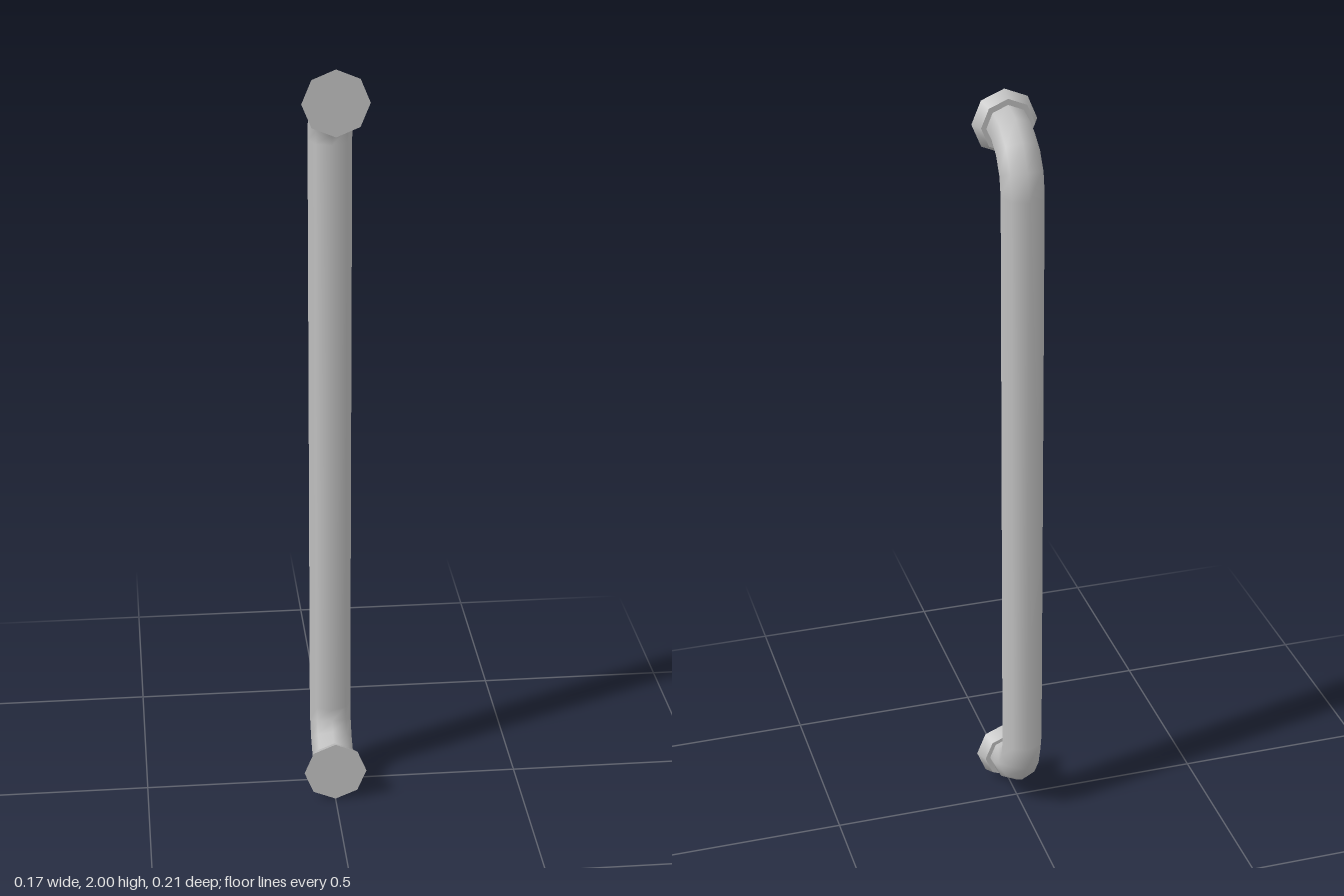
import * as THREE from 'three';

const PIPE_R = 0.055;   // pipe radius
const BEND_R = 0.132;   // bend centreline radius
const BEND_Y = 1.785;   // height of the upper bend centre
const BEND_Z = 0.082;
const STEPS = 4;        // segments per bend
const SIDES = 8;

// Centreline rings from top to bottom: position and upward tangent in the y-z plane
function pipeRings() {
  const rings = [];
  for (let i = 0; i <= STEPS; i++) {
    const a = (Math.PI / 2) * (1 - i / STEPS);
    rings.push({
      y: BEND_Y + BEND_R * Math.sin(a), z: BEND_Z - BEND_R * Math.cos(a),
      ty: Math.cos(a), tz: Math.sin(a),
    });
  }
  // The lower bend mirrors the upper one
  const lower = rings.map((r) => ({ y: 2 - r.y, z: r.z, ty: r.ty, tz: -r.tz })).reverse();
  return rings.concat(lower);
}

// Straight cylinder whose rows are moved onto the bent centreline
function pipeGeometry() {
  const rings = pipeRings();
  const geo = new THREE.CylinderGeometry(1, 1, 1, SIDES, rings.length - 1, true);
  const pos = geo.attributes.position;
  const nor = geo.attributes.normal;
  for (let i = 0; i < pos.count; i++) {
    const r = rings[Math.floor(i / (SIDES + 1))];
    const x = pos.getX(i);
    const z = pos.getZ(i);
    nor.setXYZ(i, x, -z * r.tz, z * r.ty);
    pos.setXYZ(i, x * PIPE_R, r.y - z * r.tz * PIPE_R, r.z + z * r.ty * PIPE_R);
  }
  return geo;
}

export function createModel() {
  const group = new THREE.Group();
  group.name = 'pullHandle';
  const metal = new THREE.MeshStandardMaterial({ color: 0xc0c0c0 });
  metal.name = 'greyMetal';

  // Bent grip bar
  const bar = new THREE.Mesh(pipeGeometry(), metal);
  bar.name = 'gripBar';
  group.add(bar);

  // Tapered mounting flanges at both ends
  const flangeGeo = new THREE.CylinderGeometry(0.083, 0.068, 0.033, SIDES).rotateX(Math.PI / 2);
  for (const [name, y] of [['upperFlange', 1.917], ['lowerFlange', 0.083]]) {
    const flange = new THREE.Mesh(flangeGeo, metal);
    flange.name = name;
    flange.position.set(0, y, 0.0875);
    group.add(flange);
  }
  return group;
}
